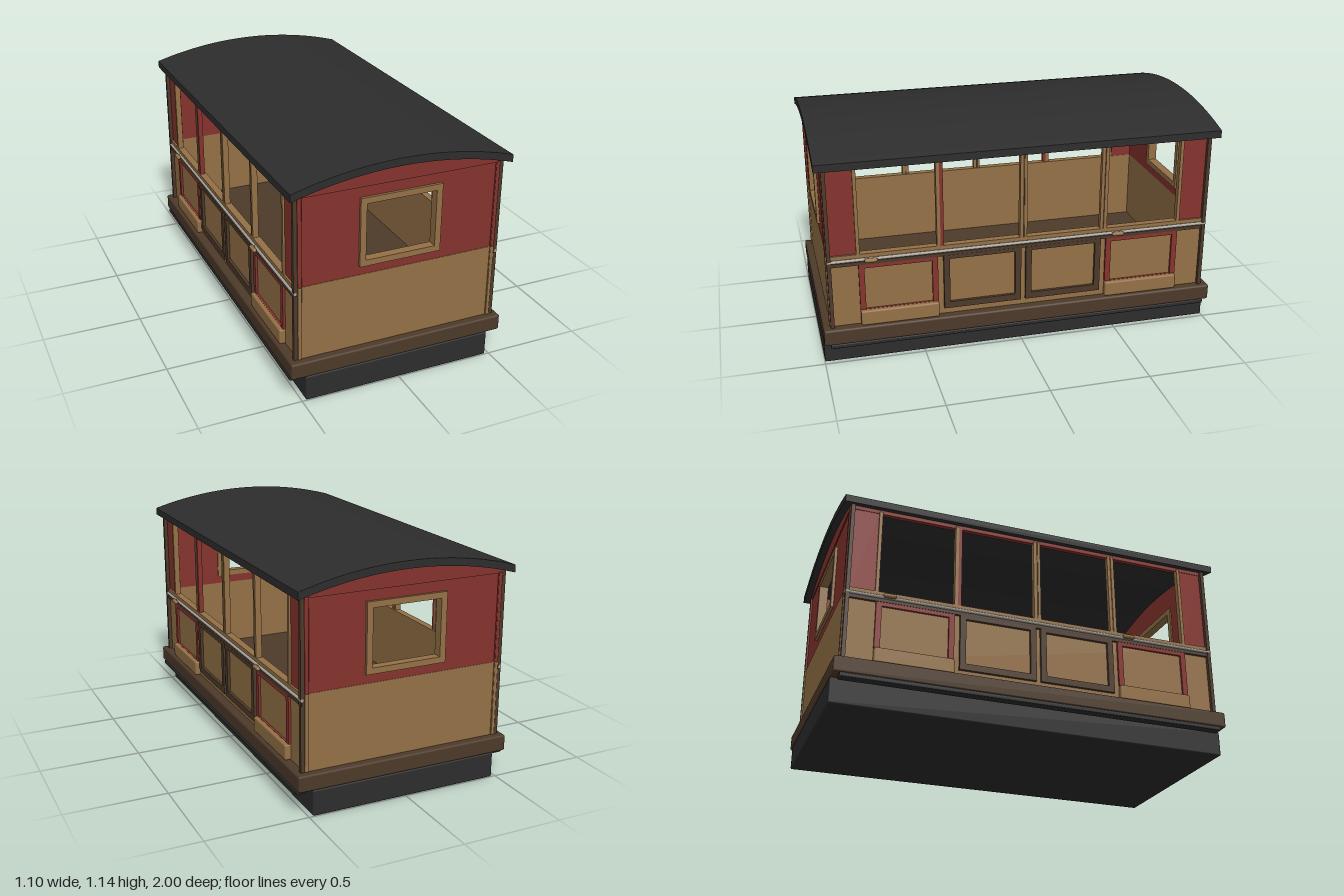
import * as THREE from 'three';
import { toCreasedNormals } from 'three/addons/utils/BufferGeometryUtils.js';
import { RoundedBoxGeometry } from 'three/addons/geometries/RoundedBoxGeometry.js';

const material = (name, color) => Object.assign(new THREE.MeshStandardMaterial({ color }), { name });

export function createModel() {
  const charcoal = material('charcoal', 0x2d2d2d);
  const brown = material('dark brown', 0x4d3a2a);
  const tan = material('tan wood', 0x947147);
  const red = material('deep red', 0x86332d);
  const silver = material('silver', 0xa9a59d);

  const model = new THREE.Group();
  model.name = 'railwayCarriage';

  const add = (parent, name, geometry, mat) => {
    const mesh = new THREE.Mesh(geometry, mat);
    mesh.name = name;
    parent.add(mesh);
    return mesh;
  };
  // Box given by its limits, with an optional rounded edge
  const box = (parent, name, mat, [x0, x1], [y0, y1], [z0, z1], radius = 0) => {
    const size = [Math.abs(x1 - x0), y1 - y0, Math.abs(z1 - z0)];
    const geometry = radius
      ? new RoundedBoxGeometry(...size, 2, radius)
      : new THREE.BoxGeometry(...size);
    geometry.translate((x0 + x1) / 2, (y0 + y1) / 2, (z0 + z1) / 2);
    return add(parent, name, geometry, mat);
  };
  const rectangle = (Type, u0, u1, v0, v1) => new Type([
    new THREE.Vector2(u0, v0), new THREE.Vector2(u1, v0),
    new THREE.Vector2(u1, v1), new THREE.Vector2(u0, v1),
  ]);
  // Rectangular plate with a rectangular opening, facing +z
  const pierced = (outer, inner, from, to) => {
    const shape = rectangle(THREE.Shape, ...outer);
    shape.holes.push(rectangle(THREE.Path, ...inner));
    return new THREE.ExtrudeGeometry(shape, { depth: to - from, bevelEnabled: false })
      .translate(0, 0, from);
  };
  // Roof curve: underside height at a given x
  const R = 1.93;
  const under = (x) => 1.1 - R + Math.sqrt(R * R - x * x);
  const curve = (half, lift, steps = 32) => Array.from({ length: steps + 1 }, (_, i) => {
    const x = half - (2 * half * i) / steps;
    return new THREE.Vector2(x, under(x) + lift);
  });

  // Underframe and floor
  box(model, 'underframe', charcoal, [-0.48, 0.48], [0, 0.128], [-1, 1], 0.008);
  box(model, 'floor', brown, [-0.55, 0.55], [0.126, 0.207], [-1, 1], 0.01);

  // Arched roof
  const roofShape = new THREE.Shape([...curve(0.55, 0.037), ...curve(0.55, 0).reverse()]);
  const roofGeometry = new THREE.ExtrudeGeometry(roofShape, { depth: 2, bevelEnabled: false });
  add(model, 'roof', toCreasedNormals(roofGeometry.translate(0, 0, -1), 0.5), charcoal);

  // One end wall, facing +z
  const buildEnd = () => {
    const end = new THREE.Group();
    box(end, 'lowerEndWall', tan, [-0.49, 0.49], [0.207, 0.58], [0.935, 0.962]);
    add(end, 'upperEndWall',
      pierced([-0.49, 0.49, 0.58, 1.015], [-0.18, 0.18, 0.65, 0.94], 0.935, 0.96), red);
    add(end, 'endWindowFrame',
      pierced([-0.205, 0.205, 0.625, 0.965], [-0.175, 0.175, 0.655, 0.935], 0.928, 0.974), tan);
    const gable = new THREE.Shape([
      ...curve(0.505, 0.002), new THREE.Vector2(-0.505, 1.015), new THREE.Vector2(0.505, 1.015),
    ]);
    add(end, 'gable', new THREE.ExtrudeGeometry(gable, { depth: 0.03, bevelEnabled: false })
      .translate(0, 0, 0.935), red);
    for (const s of [-1, 1]) {
      box(end, 'lowerCornerStrip', tan, [s * 0.485, s * 0.505], [0.207, 0.58], [0.935, 0.97], 0.004);
      box(end, 'upperCornerStrip', red, [s * 0.485, s * 0.505], [0.58, 1.02], [0.935, 0.97], 0.004);
    }
    return end;
  };

  // One long side, on +x
  const buildSide = () => {
    const side = new THREE.Group();
    const sideFrame = (name, mat, z0, z1, y0, y1, w, bottom, out) =>
      add(side, name, pierced([-z1, -z0, y0, y1], [-z1 + w, -z0 - w, y0 + bottom, y1 - 0.02], 0.5, out)
        .rotateY(Math.PI / 2), mat);

    box(side, 'lowerSideWall', tan, [0.48, 0.505], [0.207, 0.57], [-0.945, 0.945]);
    box(side, 'windowSill', tan, [0.478, 0.515], [0.56, 0.58], [-0.945, 0.945]);
    box(side, 'topBeam', red, [0.485, 0.508], [1.012, 1.034], [-0.945, 0.945]);
    box(side, 'understrip', charcoal, [0.5, 0.55], [0.106, 0.128], [-0.97, 0.97], 0.005);

    for (const s of [-1, 1]) {
      box(side, 'upperSidePanel', red, [0.48, 0.505], [0.57, 1.02], [s * 0.82, s * 0.945]);
      box(side, 'cornerPost', brown, [0.504, 0.524], [0.207, 1.035], [s * 0.945, s * 0.964]);
      box(side, 'windowEndPost', tan, [0.485, 0.515], [0.57, 1.02], [s * 0.805, s * 0.822]);
      box(side, 'centrePost', tan, [0.485, 0.515], [0.57, 1.02], [s * 0.004, s * 0.018]);
      box(side, 'doorPost', tan, [0.485, 0.515], [0.57, 1.02], [s * 0.415, s * 0.432]);

      // Door with a raised red surround and a kick board
      const [a, b] = s > 0 ? [0.43, 0.815] : [-0.815, -0.43];
      sideFrame('doorFrame', red, a, b, 0.285, 0.525, 0.028, 0.001, 0.517);
      box(side, 'kickBoard', tan, [0.5, 0.535], [0.207, 0.283], [a, b], 0.008);

      // Framed panel beside the middle
      const [c, d] = s > 0 ? [0.012, 0.402] : [-0.402, -0.012];
      sideFrame('panelFrame', brown, c, d, 0.24, 0.527, 0.03, 0.033, 0.52);
    }
    box(side, 'redDoorPost', red, [0.487, 0.512], [0.57, 1.02], [0.397, 0.415]);
    box(side, 'plainDoorPost', tan, [0.487, 0.512], [0.57, 1.02], [-0.413, -0.397]);
    box(side, 'centrePostCore', brown, [0.488, 0.51], [0.57, 1.02], [-0.004, 0.004]);

    // Waist rail and grab bar
    box(side, 'waistRail', brown, [0.49, 0.519], [0.525, 0.542], [-0.966, 0.966]);
    add(side, 'grabBar', new THREE.CylinderGeometry(0.008, 0.008, 1.93, 12)
      .rotateX(Math.PI / 2).translate(0.517, 0.552, 0), silver);

    // Door handles
    for (const z of [0.755, -0.485]) {
      add(side, 'handleStem', new THREE.CylinderGeometry(0.007, 0.007, 0.035, 10)
        .rotateZ(Math.PI / 2).translate(0.515, 0.553, z + 0.015), tan);
      add(side, 'doorHandle', new THREE.CapsuleGeometry(0.011, 0.042, 4, 12)
        .rotateX(Math.PI / 2).translate(0.536, 0.553, z), tan);
    }
    return side;
  };

  // Each end and side is repeated by a half turn
  for (const [name, build] of [['EndWall', buildEnd], ['SideWall', buildSide]]) {
    for (const turned of [false, true]) {
      const part = build();
      const word = name === 'EndWall' ? (turned ? 'back' : 'front') : (turned ? 'right' : 'left');
      part.name = word + name;
      part.rotation.y = turned ? Math.PI : 0;
      model.add(part);
    }
  }
  return model;
}
